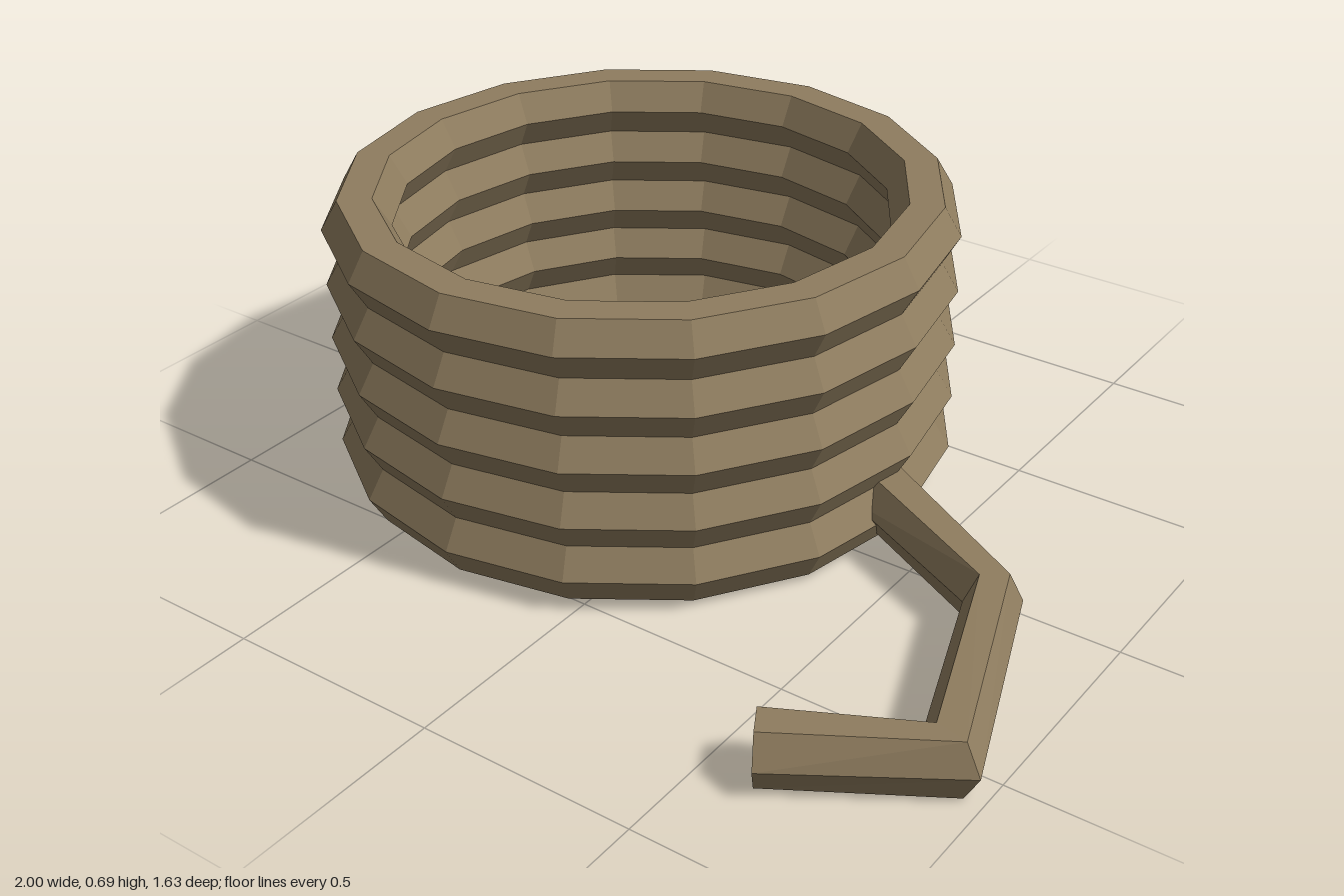
import * as THREE from 'three';

const SIDES = 6;
const RADIUS = 0.0775;

// Hexagonal rope swept through stations of centre [x, y, z] and half-width [sx, sz]
function ropeGeometry(stations) {
  const rings = stations.map(([x, y, z, sx, sz]) =>
    Array.from({ length: SIDES }, (_, k) => {
      const a = (k / SIDES) * Math.PI * 2;
      return [x + sx * Math.cos(a), y + RADIUS * Math.sin(a), z + sz * Math.cos(a)];
    }));
  const pos = [];
  const tri = (a, b, c) => pos.push(...a, ...b, ...c);
  const last = rings.length - 1;
  for (let k = 0; k < SIDES; k++) {
    const n = (k + 1) % SIDES;
    for (let i = 0; i < last; i++) {
      tri(rings[i][k], rings[i][n], rings[i + 1][k]);
      tri(rings[i][n], rings[i + 1][n], rings[i + 1][k]);
    }
    // end caps
    tri(stations[last].slice(0, 3), rings[last][k], rings[last][n]);
    tri(stations[0].slice(0, 3), rings[0][n], rings[0][k]);
  }
  const geo = new THREE.BufferGeometry();
  geo.setAttribute('position', new THREE.Float32BufferAttribute(pos, 3));
  geo.computeVertexNormals();
  return geo;
}

export function createModel() {
  const group = new THREE.Group();
  group.name = 'ropeCoil';
  const rope = new THREE.MeshStandardMaterial({ color: 0x8f7d5f, flatShading: true });
  rope.name = 'rope tan';

  // Five stacked loops
  const loop = new THREE.TorusGeometry(0.6375, RADIUS, SIDES, 16).rotateX(-Math.PI / 2);
  for (let i = 0; i < 5; i++) {
    const mesh = new THREE.Mesh(loop, rope);
    mesh.name = `coilLoop${i + 1}`;
    mesh.position.set(-0.285, 0.083 + i * 0.134, -0.105);
    group.add(mesh);
  }

  // Loose end bending across the ground
  const tail = new THREE.Mesh(ropeGeometry([
    [0.35, 0.1, -0.105, 0.035, -0.067],
    [0.752, 0.084, 0.098, 0.05, -0.038],
    [0.921, 0.069, 0.569, 0.074, 0.016],
    [0.603, 0.068, 0.745, 0.037, 0.065],
  ]), rope);
  tail.name = 'looseEnd';
  group.add(tail);

  return group;
}
